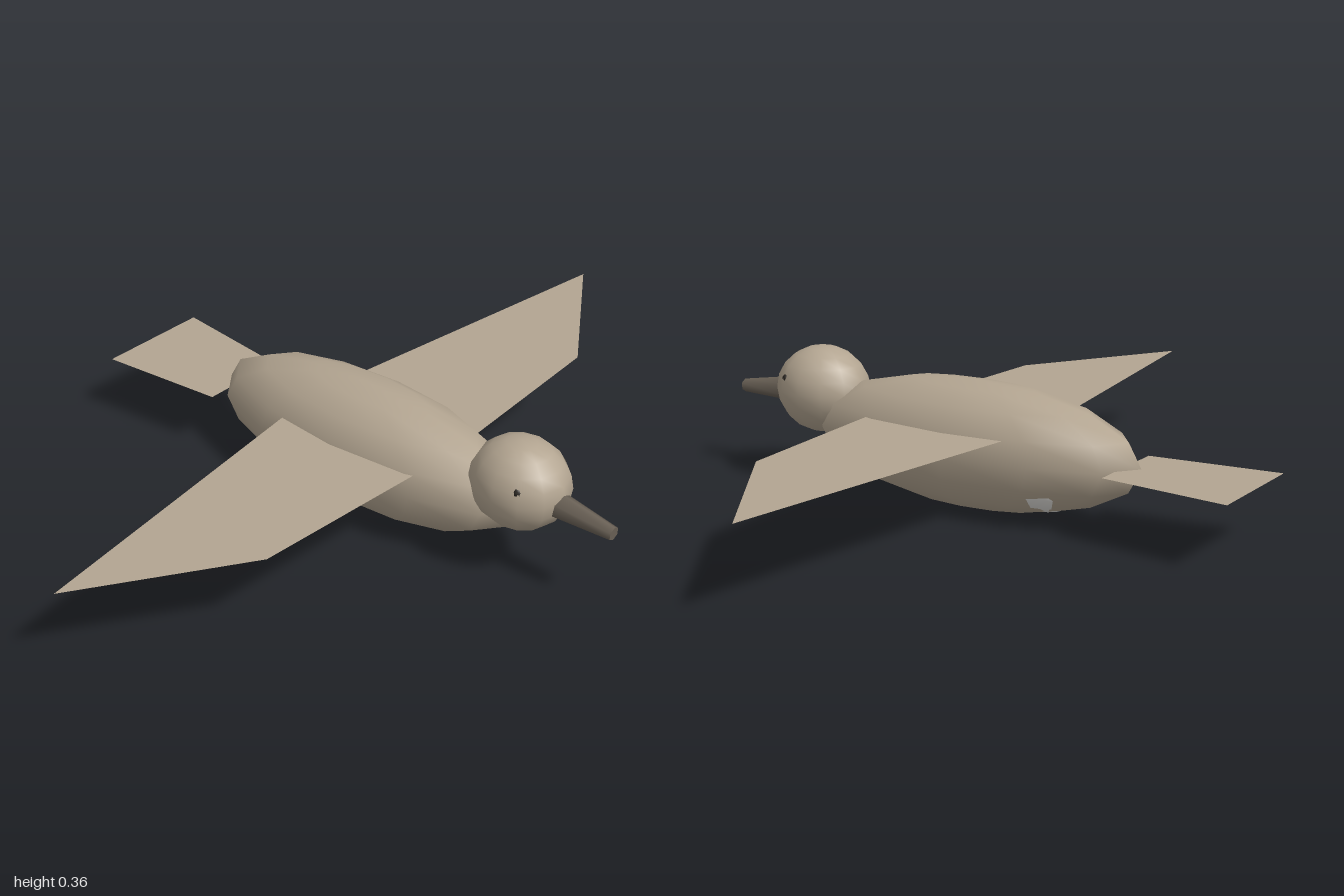
import * as THREE from 'three';

function paint(name, color, side = THREE.FrontSide) {
  const m = new THREE.MeshStandardMaterial({ color, side });
  m.name = name;
  return m;
}

export function createModel() {
  const bird = new THREE.Group();
  bird.name = 'bird';
  const plumage = paint('plumage', 0xb3a591);
  const feather = paint('feather', 0xb3a591, THREE.DoubleSide);
  const horn = paint('horn', 0x6a6156);
  const dark = paint('eyeDark', 0x2a2622);
  const pale = paint('paleBelly', 0xdcdad6);

  const add = (name, geometry, material, x = 0, y = 0, z = 0) => {
    const mesh = new THREE.Mesh(geometry, material);
    mesh.name = name;
    mesh.position.set(x, y, z);
    bird.add(mesh);
    return mesh;
  };
  const ellipsoid = (rx, ry, rz, w, h) => new THREE.SphereGeometry(1, w, h).scale(rx, ry, rz);

  // Flat horizontal sheet from [x, z] outline points
  const sheet = (points) => new THREE.ShapeGeometry(
    new THREE.Shape(points.map(([x, z]) => new THREE.Vector2(x, -z)))
  ).rotateX(-Math.PI / 2);

  // Body and head
  add('body', ellipsoid(0.163, 0.166, 0.485, 12, 8), plumage, 0, 0.167, 0.02);
  add('head', ellipsoid(0.115, 0.116, 0.13, 12, 10), plumage, 0, 0.247, 0.495);

  // Pale patch just breaking through under the rear belly
  add('bellyPatch', ellipsoid(0.12, 0.09, 0.13, 12, 8), pale, 0, 0.115, -0.2);

  // Tapered beak, dipping slightly
  const beak = add('beak', new THREE.CylinderGeometry(0.018, 0.035, 0.17, 6).rotateX(Math.PI / 2), horn, 0, 0.225, 0.68);
  beak.rotation.x = 0.07;

  // Wings and eyes, mirrored
  for (const [side, s] of [['left', 1], ['right', -1]]) {
    const outline = [[0, 0.275], [0.6, 0.235], [1, -0.03], [0, -0.17]];
    add(side + 'Wing', sheet(outline.map(([x, z]) => [s * x, z])), feather, 0, 0.225, 0);
    add(side + 'Eye', ellipsoid(0.012, 0.012, 0.012, 6, 5), dark, s * 0.087, 0.283, 0.55);
  }

  // Flared tail
  add('tail', sheet([[-0.118, -0.42], [0.118, -0.42], [0.155, -0.765], [-0.155, -0.765]]), feather, 0, 0.17, 0);

  return bird;
}
